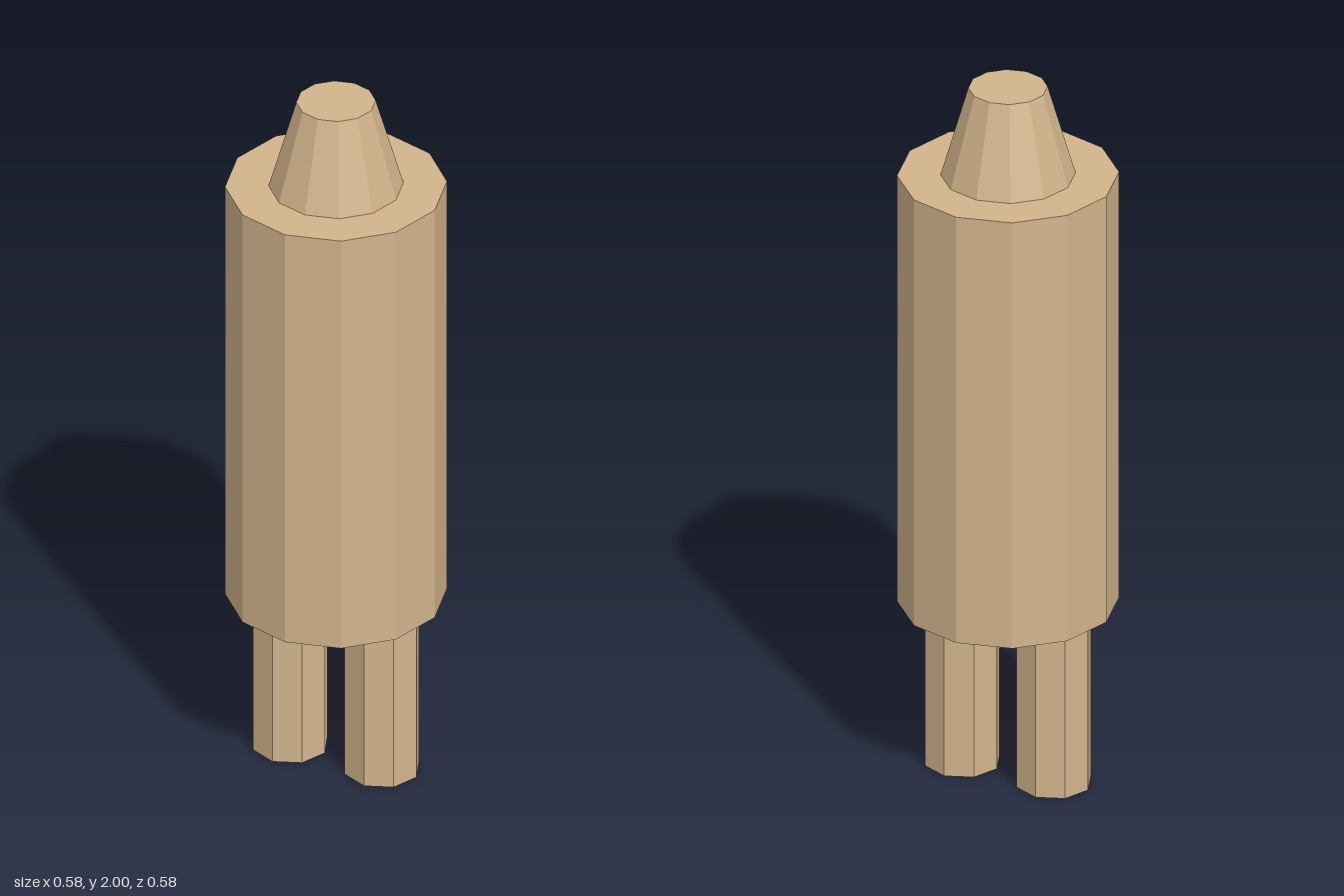
import * as THREE from 'three';

export function createModel() {
  const model = new THREE.Group();
  const tan = new THREE.MeshStandardMaterial({ color: 0xd2b48c });
  tan.name = 'tan';

  // Faceted upright cylinder or cone section spanning y0 to y1
  function addPrism(name, rTop, rBottom, y0, y1, sides, x = 0) {
    const geometry = new THREE.CylinderGeometry(rTop, rBottom, y1 - y0, sides).toNonIndexed();
    geometry.computeVertexNormals(); // one normal per facet
    const mesh = new THREE.Mesh(geometry, tan);
    mesh.name = name;
    mesh.position.set(x, (y0 + y1) / 2, 0);
    model.add(mesh);
  }

  // Twelve-sided body with a tapered tip on top
  addPrism('body', 0.291, 0.291, 0.503, 1.747, 12);
  addPrism('taperedTip', 0.104, 0.177, 1.747, 2, 12);

  // Pair of eight-sided legs
  addPrism('leftLeg', 0.102, 0.102, 0, 0.503, 8, 0.135);
  addPrism('rightLeg', 0.102, 0.102, 0, 0.503, 8, -0.135);

  return model;
}
